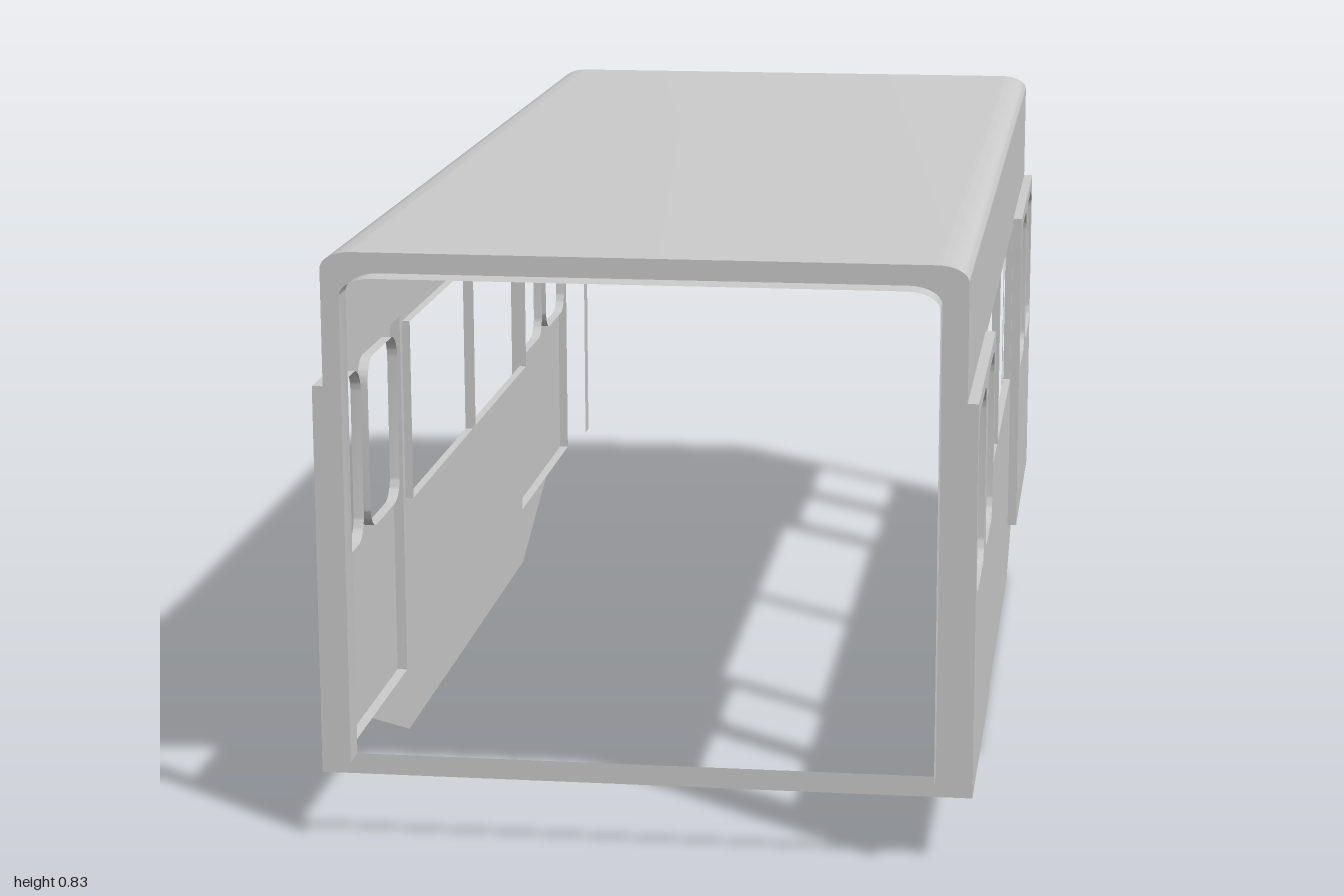
import * as THREE from 'three';
import { toCreasedNormals } from 'three/addons/utils/BufferGeometryUtils.js';

const FRONT = 0.96, BACK = -0.965;   // ends of the body shell
const WALL = 0.435, DOOR = 0.45;     // x of wall sheet and of raised door panel
const EAVE = 0.807, TOP = 0.83, SILL = 0.097, DOOR_TOP = 0.645;

const material = new THREE.MeshStandardMaterial({ color: 0xcccccc, side: THREE.DoubleSide });

function addMesh(parent, name, geometry) {
  const mesh = new THREE.Mesh(geometry, material);
  mesh.name = name;
  parent.add(mesh);
  return mesh;
}

// Thin sheet: a 2D line swept along z from z0 to z1
function sweep(points, z0, z1) {
  const pos = [], index = [];
  points.forEach((p, i) => {
    pos.push(p.x, p.y, z0, p.x, p.y, z1);
    if (i) {
      const a = 2 * i - 2;
      index.push(a, a + 2, a + 1, a + 1, a + 2, a + 3);
    }
  });
  const g = new THREE.BufferGeometry();
  g.setAttribute('position', new THREE.Float32BufferAttribute(pos, 3));
  g.setIndex(index);
  return toCreasedNormals(g, 0.6);
}

// Turns a drawing made in (-z, y) to face +x
const toSide = (g) => g.rotateY(Math.PI / 2);
const sidePoints = (list) => list.map(([z, y]) => new THREE.Vector2(-z, y));

// Window outline, with round corners if r > 0
function windowPath(zA, zB, y0, y1, r) {
  const p = new THREE.Path(), a = -zB, b = -zA;
  if (!r) return p.setFromPoints(sidePoints([[zB, y0], [zA, y0], [zA, y1], [zB, y1], [zB, y0]]));
  p.absarc(b - r, y0 + r, r, -Math.PI / 2, 0);
  p.absarc(b - r, y1 - r, r, 0, Math.PI / 2);
  p.absarc(a + r, y1 - r, r, Math.PI / 2, Math.PI);
  p.absarc(a + r, y0 + r, r, Math.PI, Math.PI * 1.5);
  p.closePath();
  return p;
}

// Flat side sheet at the given x with windows and their inward rims
function sidePanel(parent, name, outline, windows, x, rim) {
  const shape = new THREE.Shape(sidePoints(outline));
  shape.holes = windows;
  const g = new THREE.ShapeGeometry(shape, 6);
  addMesh(parent, name, toSide(g.translate(0, 0, x)));
  for (const w of windows) {
    addMesh(parent, 'windowRim', toSide(sweep(w.getPoints(6), x - rim, x)));
  }
}

function buildSide() {
  const side = new THREE.Group();
  // Wall sheet, cut away behind the doors, with the tapered skirt below
  sidePanel(side, 'sideWall', [
    [FRONT, EAVE], [FRONT, DOOR_TOP], [0.482, DOOR_TOP], [0.482, SILL], [0.72, SILL], [0.475, 0],
    [-0.48, 0], [-0.725, SILL], [-0.482, SILL], [-0.482, DOOR_TOP], [BACK, DOOR_TOP], [BACK, EAVE],
  ], [
    windowPath(0.011, 0.467, 0.363, 0.635, 0),
    windowPath(-0.472, -0.013, 0.363, 0.635, 0),
  ], WALL, 0.012);

  // Raised door panels with an edge returning to the wall
  const doors = [
    { name: 'frontDoor', z: [0.482, FRONT], panes: [[0.74, 0.938], [0.504, 0.697]] },
    { name: 'rearDoor', z: [BACK, -0.482], panes: [[-0.702, -0.504], [-0.941, -0.745]] },
  ];
  for (const { name, z: [a, b], panes } of doors) {
    const outline = [[a, SILL], [b, SILL], [b, DOOR_TOP], [a, DOOR_TOP]];
    const holes = panes.map(([p, q]) => windowPath(p, q, 0.373, 0.625, 0.036));
    sidePanel(side, name, outline, holes, DOOR, DOOR - WALL);
    addMesh(side, name + 'Edge', toSide(sweep(sidePoints([...outline, outline[0]]), WALL, DOOR)));
  }
  return side;
}

// Arch line from the right foot over the top to the left foot
function archPoints(x, foot, shoulder, top, cornerWidth) {
  const pts = [new THREE.Vector2(x, foot)];
  const n = 8, half = [];
  for (let i = 0; i <= n; i++) {
    const a = (i / n) * Math.PI / 2;
    half.push(new THREE.Vector2(
      x - cornerWidth + cornerWidth * Math.cos(a),
      shoulder + (top - shoulder) * Math.sin(a)));
  }
  pts.push(...half);
  pts.push(...half.slice().reverse().map((p) => new THREE.Vector2(-p.x, p.y)));
  pts.push(new THREE.Vector2(-x, foot));
  return pts;
}

export function createModel() {
  const model = new THREE.Group();
  model.name = 'carriageBody';

  // Roof with rounded eaves
  const roofLine = archPoints(WALL, EAVE, EAVE, TOP, 0.042).slice(1, -1);
  addMesh(model, 'roof', sweep(roofLine, BACK, FRONT));

  // Side walls and doors, mirrored
  for (const s of [1, -1]) {
    const side = buildSide();
    side.name = s > 0 ? 'leftSide' : 'rightSide';
    side.scale.x = s;
    model.add(side);
  }

  // Front end frame around the opening
  const opening = archPoints(0.4, 0.126, 0.777, 0.802, 0.045);
  const frame = new THREE.Shape([
    new THREE.Vector2(-DOOR, SILL), new THREE.Vector2(DOOR, SILL),
    new THREE.Vector2(DOOR, DOOR_TOP), new THREE.Vector2(WALL, DOOR_TOP),
    ...roofLine,
    new THREE.Vector2(-WALL, DOOR_TOP), new THREE.Vector2(-DOOR, DOOR_TOP),
  ]);
  frame.holes.push(new THREE.Path(opening));
  addMesh(model, 'frontFrame', new THREE.ShapeGeometry(frame).translate(0, 0, FRONT));

  // Thin gangway arches standing out at both ends
  addMesh(model, 'frontGangwayArch', sweep(opening, FRONT, 1));
  addMesh(model, 'rearGangwayArch', sweep(opening, -1, BACK));
  return model;
}
